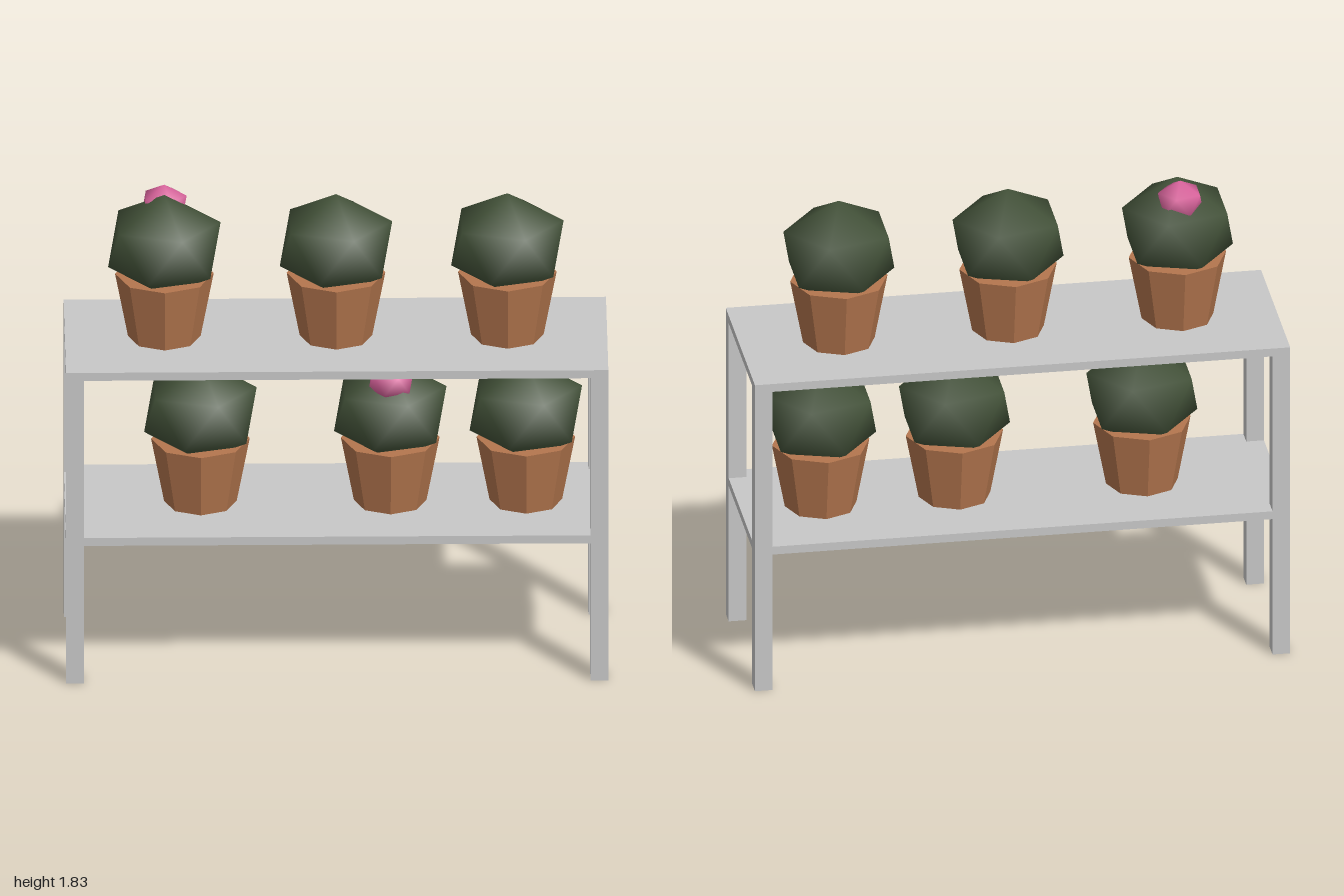
import * as THREE from 'three';

const mat = (name, color) => {
  const m = new THREE.MeshStandardMaterial({ color });
  m.name = name;
  return m;
};

// Smooth twenty-sided bulb: two staggered rings of five between two poles
function bulbGeometry(rx, ry, rz) {
  const pos = [0, ry, 0, 0, -ry, 0];
  const index = [];
  for (let k = 0; k < 5; k++) {
    for (const [turn, h] of [[0, 0.447], [0.5, -0.447]]) {
      const a = (k + turn) * Math.PI * 0.4;
      pos.push(0.894 * rx * Math.cos(a), h * ry, -0.894 * rz * Math.sin(a));
    }
    const u = 2 + 2 * k, l = u + 1;
    const u2 = 2 + 2 * ((k + 1) % 5), l2 = u2 + 1;
    index.push(0, u, u2, u, l, u2, l, l2, u2, l2, l, 1);
  }
  const g = new THREE.BufferGeometry();
  g.setAttribute('position', new THREE.Float32BufferAttribute(pos, 3));
  g.setIndex(index);
  g.computeVertexNormals();
  return g;
}

export function createModel() {
  const model = new THREE.Group();
  model.name = 'plantShelf';
  const grey = mat('shelf grey', 0xc8c8c8);
  const clay = mat('terracotta', 0xb4764e);
  const green = mat('cactus green', 0x435239);
  const pink = mat('flower pink', 0xdc649e);

  const add = (parent, name, geometry, material, x, y, z) => {
    const mesh = new THREE.Mesh(geometry, material);
    mesh.name = name;
    mesh.position.set(x, y, z);
    parent.add(mesh);
  };

  // Rack: two boards and four corner legs
  const rack = new THREE.Group();
  rack.name = 'rack';
  model.add(rack);
  const W = 2, D = 0.667, T = 0.032, LEG = 0.066;
  const topY = 1.252, lowY = 0.586;
  add(rack, 'topBoard', new THREE.BoxGeometry(W, T, D), grey, 0, topY - T / 2, 0);
  // The lower board is notched around the legs
  add(rack, 'lowerBoard', new THREE.BoxGeometry(W - 2 * LEG, T, D), grey, 0, lowY - T / 2, 0);
  const legHeight = topY - T;
  const leg = new THREE.BoxGeometry(LEG, legHeight, LEG);
  for (const sx of [-1, 1]) {
    add(rack, 'lowerBoardEnd', new THREE.BoxGeometry(LEG, T, D - 2 * LEG), grey,
      sx * (W - LEG) / 2, lowY - T / 2, 0);
    for (const sz of [-1, 1]) {
      add(rack, 'leg', leg, grey, sx * (W - LEG) / 2, legHeight / 2, sz * (D - LEG) / 2);
    }
  }

  // Potted cacti, some with a flower
  const POT = 0.252;
  const potGeo = new THREE.CylinderGeometry(0.182, 0.134, POT, 8).toNonIndexed();
  potGeo.computeVertexNormals();
  const cactusGeo = bulbGeometry(0.232, 0.2, 0.216);
  const flowerGeo = bulbGeometry(0.093, 0.08, 0.086);

  const plants = [
    { x: -0.633, y: topY, flower: [0, 0.502, -0.063] },
    { x: 0, y: topY },
    { x: 0.632, y: topY },
    { x: -0.5, y: lowY },
    { x: 0.2, y: lowY, flower: [0.002, 0.517, 0.076] },
    { x: 0.7, y: lowY },
  ];
  for (const { x, y, flower } of plants) {
    const plant = new THREE.Group();
    plant.name = 'pottedCactus';
    plant.position.set(x, y, 0);
    add(plant, 'pot', potGeo, clay, 0, POT / 2, 0);
    add(plant, 'cactus', cactusGeo, green, 0, 0.368, 0);
    if (flower) add(plant, 'flower', flowerGeo, pink, ...flower);
    model.add(plant);
  }
  return model;
}
